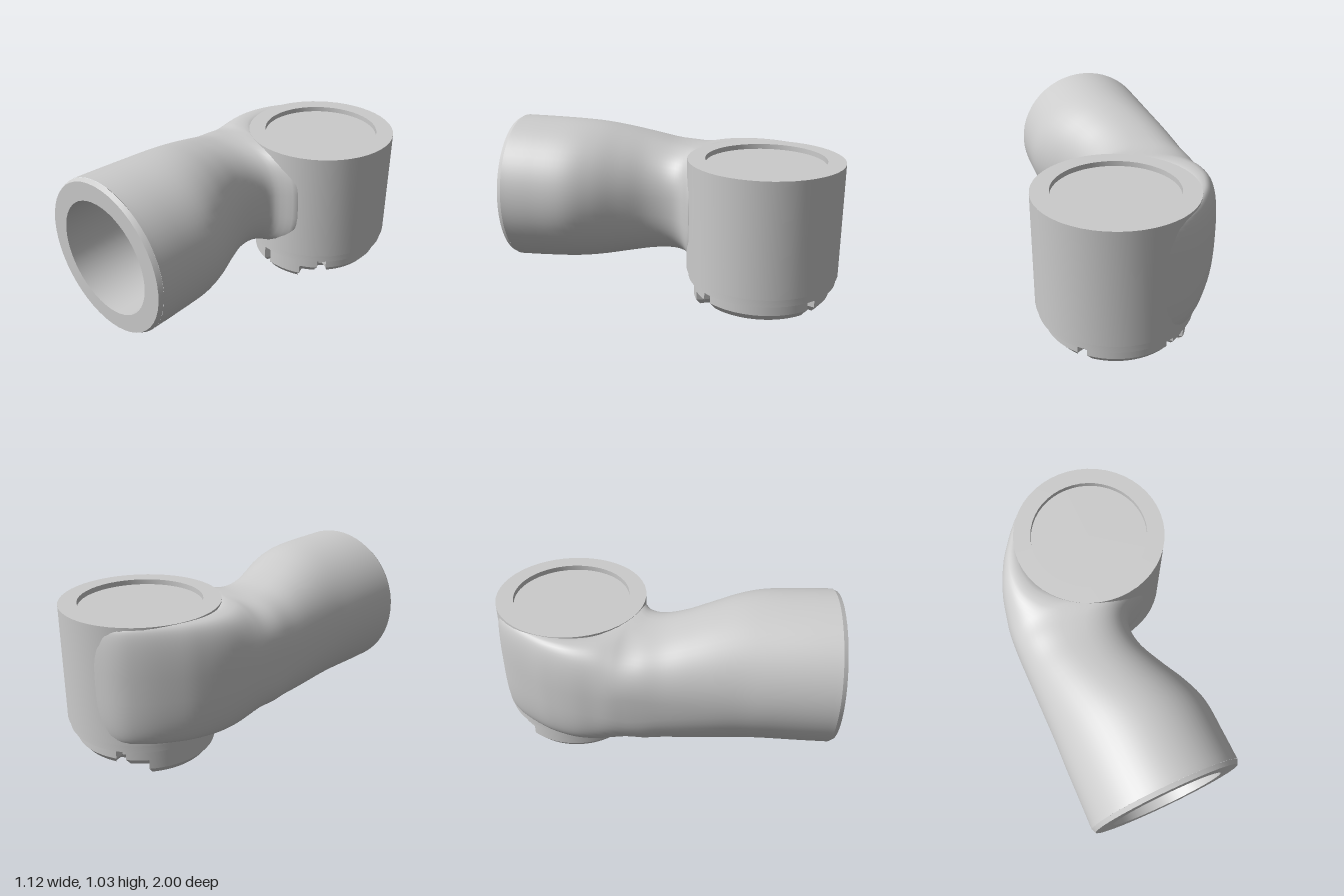
import * as THREE from 'three';
import { toCreasedNormals } from 'three/addons/utils/BufferGeometryUtils.js';

const CX = 0.11, CZ = -0.55; // axis of the upright socket
const rad = THREE.MathUtils.degToRad;
const material = new THREE.MeshStandardMaterial({ color: 0xcccccc });

function part(name, geometry, x = 0, y = 0, z = 0) {
  const mesh = new THREE.Mesh(geometry, material);
  mesh.name = name;
  mesh.position.set(x, y, z);
  return mesh;
}

function lathe(points, sides = 48) {
  const profile = points.map(([r, y]) => new THREE.Vector2(r, y));
  return toCreasedNormals(new THREE.LatheGeometry(profile, sides), 0.5);
}

// Curved pipe body: each row is a cross-section seen in plan.
// [left x, left z, right x, right z, top y, bottom y, squareness]
const sections = [
  [-0.558, 0.975, 0.338, 0.975, 1.027, 0.132, 2],
  [-0.556, 0.8, 0.337, 0.8, 1.023, 0.136, 2],
  [-0.554, 0.6, 0.33, 0.6, 1.015, 0.145, 2],
  [-0.55, 0.45, 0.28, 0.45, 0.998, 0.157, 2.05],
  [-0.55, 0.3, 0.205, 0.3, 0.965, 0.175, 2.15],
  [-0.55, 0.15, 0.14, 0.15, 0.925, 0.195, 2.3],
  [-0.55, 0.02, 0.125, 0.02, 0.892, 0.21, 2.5],
  [-0.55, -0.09, 0.16, -0.07, 0.879, 0.213, 2.8],
  [-0.548, -0.18, 0.28, -0.145, 0.878, 0.213, 3],
  [-0.542, -0.27, 0.02, -0.2, 0.878, 0.213, 2.7],
  [-0.525, -0.36, -0.17, -0.33, 0.878, 0.213, 2.6],
  [-0.5, -0.47, -0.24, -0.47, 0.878, 0.213, 2.6],
  [-0.455, -0.585, -0.25, -0.57, 0.878, 0.213, 2.6],
  [-0.39, -0.7, -0.235, -0.65, 0.878, 0.213, 2.6],
  [-0.26, -0.86, -0.166, -0.78, 0.878, 0.213, 2.8],
  [-0.13, -0.95, -0.075, -0.86, 0.878, 0.213, 3],
  [0.08, -0.995, 0.09, -0.91, 0.878, 0.213, 3],
];

function pipeGeometry(steps = 80, sides = 56) {
  const curve = (f) => new THREE.CatmullRomCurve3(
    sections.map((s) => new THREE.Vector3(...f(s))), false, 'catmullrom', 0.5);
  const left = curve((s) => [s[0], 0, s[1]]);
  const right = curve((s) => [s[2], 0, s[3]]);
  const height = curve((s) => [s[4], s[5], s[6]]);
  const positions = [], index = [];
  for (let j = 0; j <= steps; j++) {
    const l = left.getPoint(j / steps), r = right.getPoint(j / steps);
    const h = height.getPoint(j / steps);
    for (let i = 0; i < sides; i++) {
      const a = (i / sides) * Math.PI * 2, c = Math.cos(a), s = Math.sin(a);
      const u = Math.sign(c) * Math.abs(c) ** (2 / h.z);
      const v = Math.sign(s) * Math.abs(s) ** (2 / h.z);
      positions.push((l.x + r.x + (r.x - l.x) * u) / 2,
        (h.x + h.y + (h.x - h.y) * v) / 2,
        (l.z + r.z + (r.z - l.z) * u) / 2);
      if (j === steps) continue;
      const p = j * sides + i, q = j * sides + (i + 1) % sides;
      index.push(p, p + sides, q, q, p + sides, q + sides);
    }
  }
  const geometry = new THREE.BufferGeometry();
  geometry.setAttribute('position', new THREE.Float32BufferAttribute(positions, 3));
  geometry.setIndex(index);
  geometry.computeVertexNormals();
  return geometry;
}

// Arc of points in plan, dented inward at the notch angles
function arc(r, from, to, notches = [], step = 2) {
  const points = [];
  const n = Math.round((to - from) / step);
  for (let i = 0; i <= n; i++) {
    const a = from + ((to - from) * i) / n;
    const dented = notches.some((k) => Math.abs(a - k) < 3.5);
    const q = dented ? r - 0.05 : r;
    points.push(new THREE.Vector2(q * Math.cos(rad(a)), q * Math.sin(rad(a))));
  }
  return points;
}

// Plate hanging below the socket, chamfered on its lower edge
function hangingPlate(points, bottom, bevel) {
  const top = 0.22;
  const geometry = new THREE.ExtrudeGeometry(new THREE.Shape(points), {
    depth: top - bottom - bevel, bevelThickness: bevel, bevelSize: bevel * 0.8,
    bevelOffset: -bevel * 0.8, bevelSegments: 1,
  });
  geometry.rotateX(Math.PI / 2);
  geometry.translate(0, top, 0);
  return toCreasedNormals(geometry, 0.5);
}

export function createModel() {
  const model = new THREE.Group();
  model.name = 'elbowFitting';

  model.add(part('pipeBody', pipeGeometry()));

  // Front rim, bore and bore floor
  const mouth = lathe([[0.447, 0.975], [0.435, 1], [0.33, 1], [0.33, 0.57], [0, 0.57]]);
  mouth.rotateX(Math.PI / 2);
  model.add(part('pipeMouth', mouth, -0.11, 0.578, 0));

  // Upright socket with recessed top and stepped lower flange
  model.add(part('uprightSocket', lathe([
    [0, 0.185], [0.405, 0.185], [0.405, 0.165], [0.435, 0.165], [0.435, 0.212],
    [0.447, 0.212], [0.447, 0.88], [0.345, 0.88], [0.345, 0.85], [0, 0.85],
  ]), CX, 0, CZ));

  // Notched coupling plate
  const ring = arc(0.4, 0, 358, [46, 102, 240, 312]);
  model.add(part('couplingPlate', hangingPlate(ring, 0.055, 0.04), CX, 0, CZ));

  // Interlocking half plate with a round central hook
  const half = [
    ...arc(0.4, 66, 218, [102]),
    ...arc(0.155, 218, 398, [], 15),
    new THREE.Vector2(0.09, 0.15),
    new THREE.Vector2(0.12, 0.24),
  ];
  model.add(part('couplingHook', hangingPlate(half, 0, 0.04), CX, 0, CZ));

  return model;
}
